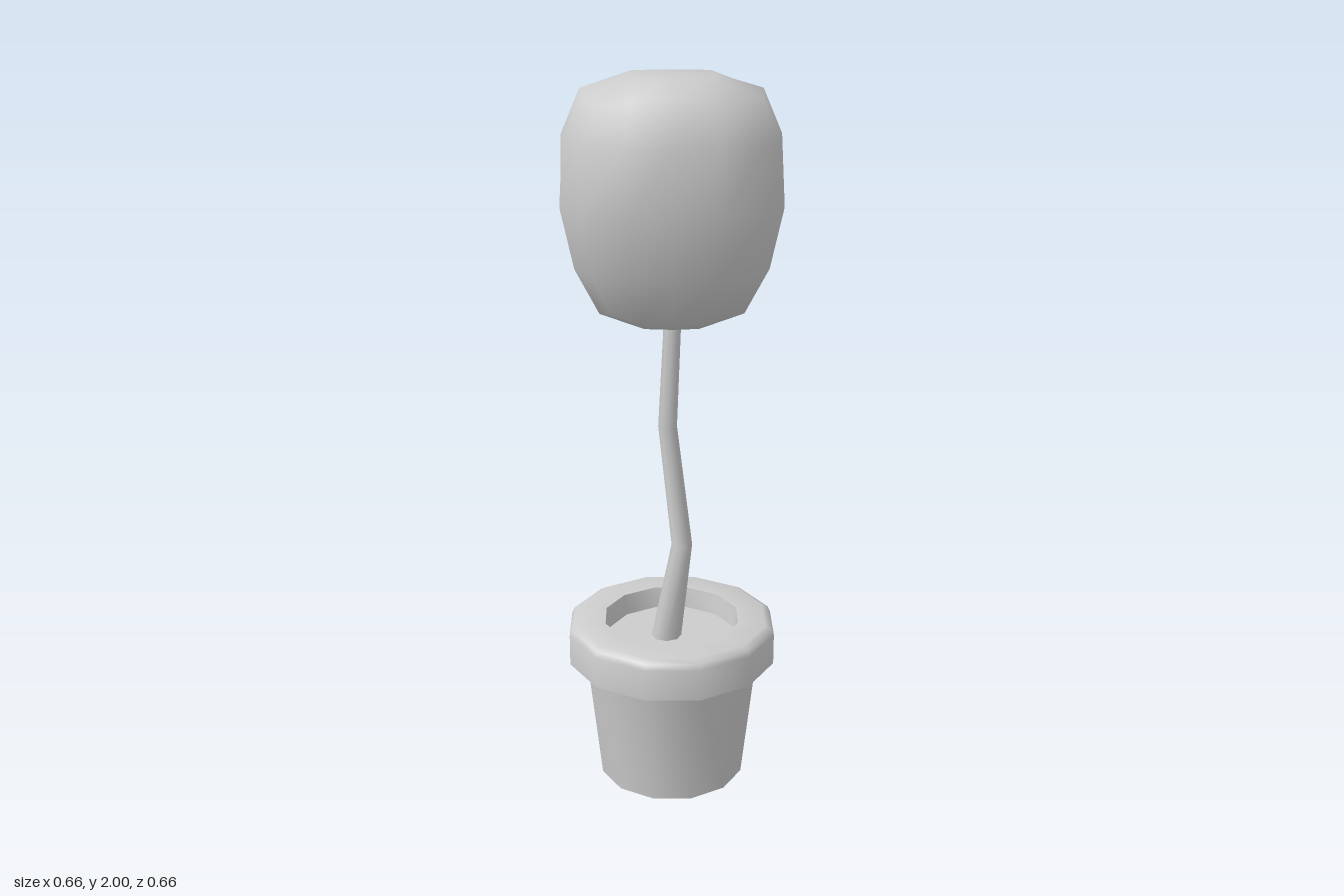
import * as THREE from 'three';
import { mergeVertices, toCreasedNormals } from 'three/addons/utils/BufferGeometryUtils.js';

const material = new THREE.MeshStandardMaterial({ color: 0xcccccc });

function addPart(group, name, geometry) {
  const mesh = new THREE.Mesh(geometry, material);
  mesh.name = name;
  group.add(mesh);
}

// Weld the seams and shade the whole surface smoothly
function smooth(geometry) {
  geometry.deleteAttribute('uv');
  geometry.deleteAttribute('normal');
  const welded = mergeVertices(geometry, 1e-4);
  welded.computeVertexNormals();
  return welded;
}

// Twelve-sided turned part, soft around and sharp at the profile corners
function turned(profile) {
  const points = profile.map(([r, y]) => new THREE.Vector2(r, y));
  return toCreasedNormals(new THREE.LatheGeometry(points, 12), 0.75);
}

// Trunk: tapered cylinder whose rings follow a crooked path [x, y, z, radius]
function trunkGeometry() {
  const rings = [
    [-0.012, 0.40, 0.013, 0.044],
    [0.033, 0.71, -0.008, 0.029],
    [-0.020, 1.05, -0.005, 0.026],
    [0.003, 1.42, -0.005, 0.023],
  ];
  const geometry = new THREE.CylinderGeometry(1, 1, 1, 8, rings.length - 1, true);
  const pos = geometry.attributes.position;
  for (let i = 0; i < pos.count; i++) {
    const [x, y, z, r] = rings[Math.round((pos.getY(i) + 0.5) * (rings.length - 1))];
    pos.setXYZ(i, x + pos.getX(i) * r, y, z + pos.getZ(i) * r);
  }
  return smooth(geometry);
}

// Crown: a 4 x 4 x 4 box relaxed into a rounded cube, narrower below.
// Each level, bottom to top, lists [y, reach, offset] at corner, quarter and middle of a side.
function crownGeometry() {
  const levels = [
    [[1.41, 0.159, 0.159], [1.395, 0.19, 0.085], [1.385, 0.195, 0]],
    [[1.52, 0.205, 0.205], [1.52, 0.252, 0.11], [1.52, 0.26, 0]],
    [[1.68, 0.233, 0.233], [1.68, 0.286, 0.117], [1.68, 0.29, 0]],
    [[1.85, 0.223, 0.223], [1.85, 0.275, 0.115], [1.85, 0.285, 0]],
    [[1.94, 0.187, 0.187], [1.955, 0.225, 0.10], [1.965, 0.235, 0]],
  ];
  const geometry = new THREE.BoxGeometry(4, 4, 4, 4, 4, 4);
  const pos = geometry.attributes.position;
  for (let i = 0; i < pos.count; i++) {
    const u = Math.round(pos.getX(i)), w = Math.round(pos.getY(i)), v = Math.round(pos.getZ(i));
    const big = Math.max(Math.abs(u), Math.abs(v));
    const small = Math.min(Math.abs(u), Math.abs(v));
    let y, reach, offset;
    if (big === 2) {
      [y, reach, offset] = levels[w + 2][2 - small];
    } else {
      // flat middle of the top and bottom
      y = w > 0 ? 2.0 : 1.35;
      reach = big * (w > 0 ? 0.103 : 0.072) * (small ? 1 : 1.12);
      offset = small * reach;
    }
    const uLeads = Math.abs(u) >= Math.abs(v);
    pos.setXYZ(i, Math.sign(u) * (uLeads ? reach : offset), y, Math.sign(v) * (uLeads ? offset : reach));
  }
  geometry.rotateY(Math.PI / 4);
  return smooth(geometry);
}

export function createModel() {
  const group = new THREE.Group();
  group.name = 'pottedTree';

  addPart(group, 'potBody', turned([[0, 0], [0.21, 0], [0.25, 0.365]]));
  addPart(group, 'potRim', turned([
    [0.25, 0.365], [0.30, 0.365], [0.30, 0.455], [0.293, 0.47], [0.275, 0.48],
    [0.195, 0.48], [0.185, 0.42],
  ]));
  addPart(group, 'soil', turned([[0.185, 0.42], [0, 0.42]]));
  addPart(group, 'trunk', trunkGeometry());
  addPart(group, 'crown', crownGeometry());
  return group;
}
